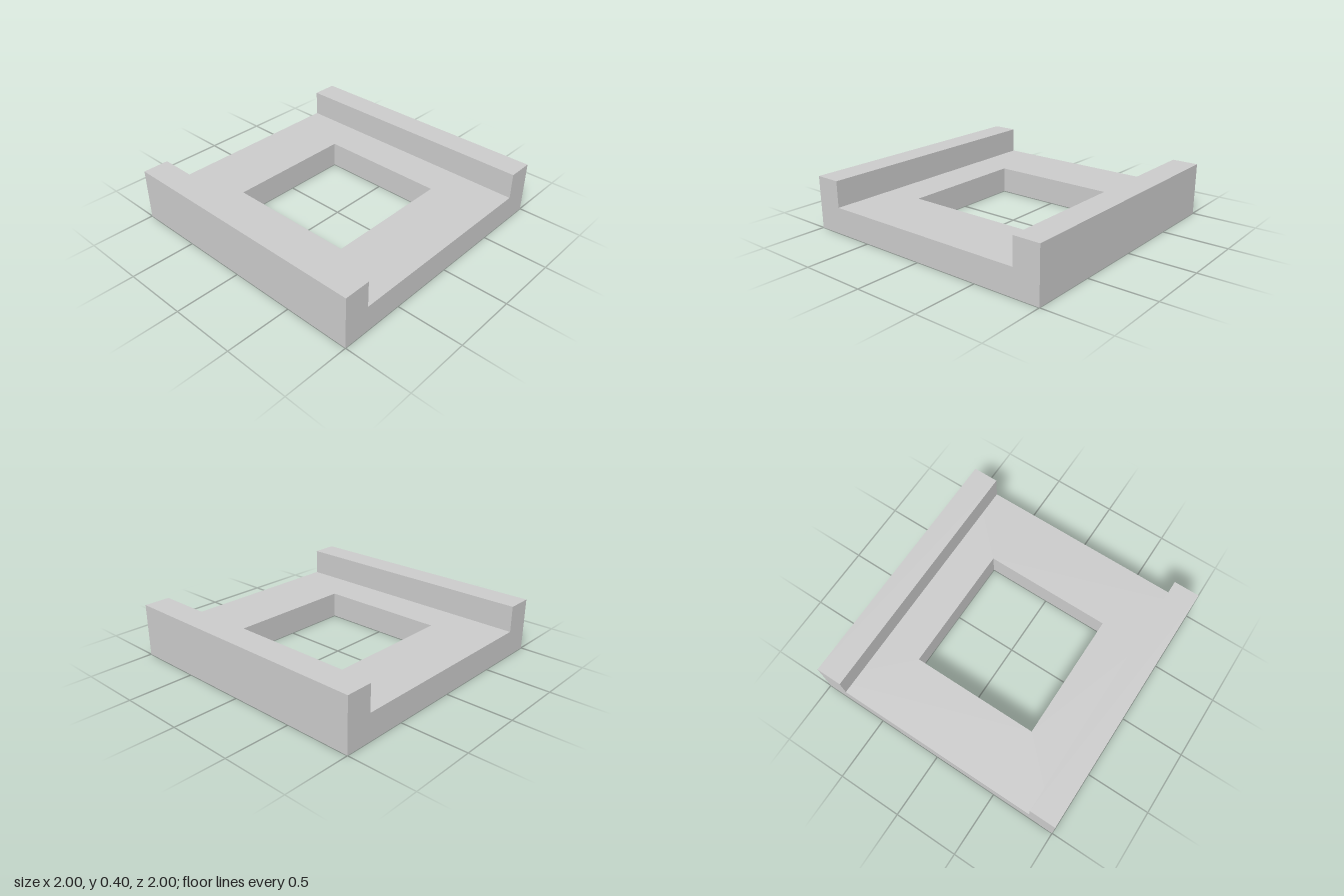
import * as THREE from 'three';

const SIZE = 2, PLATE_HEIGHT = 0.2, RAIL_WIDTH = 0.2, RAIL_HEIGHT = 0.2, OPENING = 1;

// Corners of a centred square
function squarePoints(size) {
  const h = size / 2;
  return [[-h, -h], [h, -h], [h, h], [-h, h]].map(([x, y]) => new THREE.Vector2(x, y));
}

export function createModel() {
  const model = new THREE.Group();
  model.name = 'railedFrame';
  const material = new THREE.MeshStandardMaterial({ color: 0xcccccc, flatShading: true });

  // Square base plate with a square opening through the middle
  const outline = new THREE.Shape(squarePoints(SIZE));
  outline.holes.push(new THREE.Path(squarePoints(OPENING).reverse()));
  const plateGeometry = new THREE.ExtrudeGeometry(outline, { depth: PLATE_HEIGHT, bevelEnabled: false });
  plateGeometry.rotateX(-Math.PI / 2);
  const plate = new THREE.Mesh(plateGeometry, material);
  plate.name = 'basePlate';
  model.add(plate);

  // Raised rails running front to back along both sides
  const railGeometry = new THREE.BoxGeometry(RAIL_WIDTH, RAIL_HEIGHT, SIZE);
  for (const [name, side] of [['leftRail', 1], ['rightRail', -1]]) {
    const rail = new THREE.Mesh(railGeometry, material);
    rail.name = name;
    rail.position.set(side * (SIZE - RAIL_WIDTH) / 2, PLATE_HEIGHT + RAIL_HEIGHT / 2, 0);
    model.add(rail);
  }

  return model;
}
